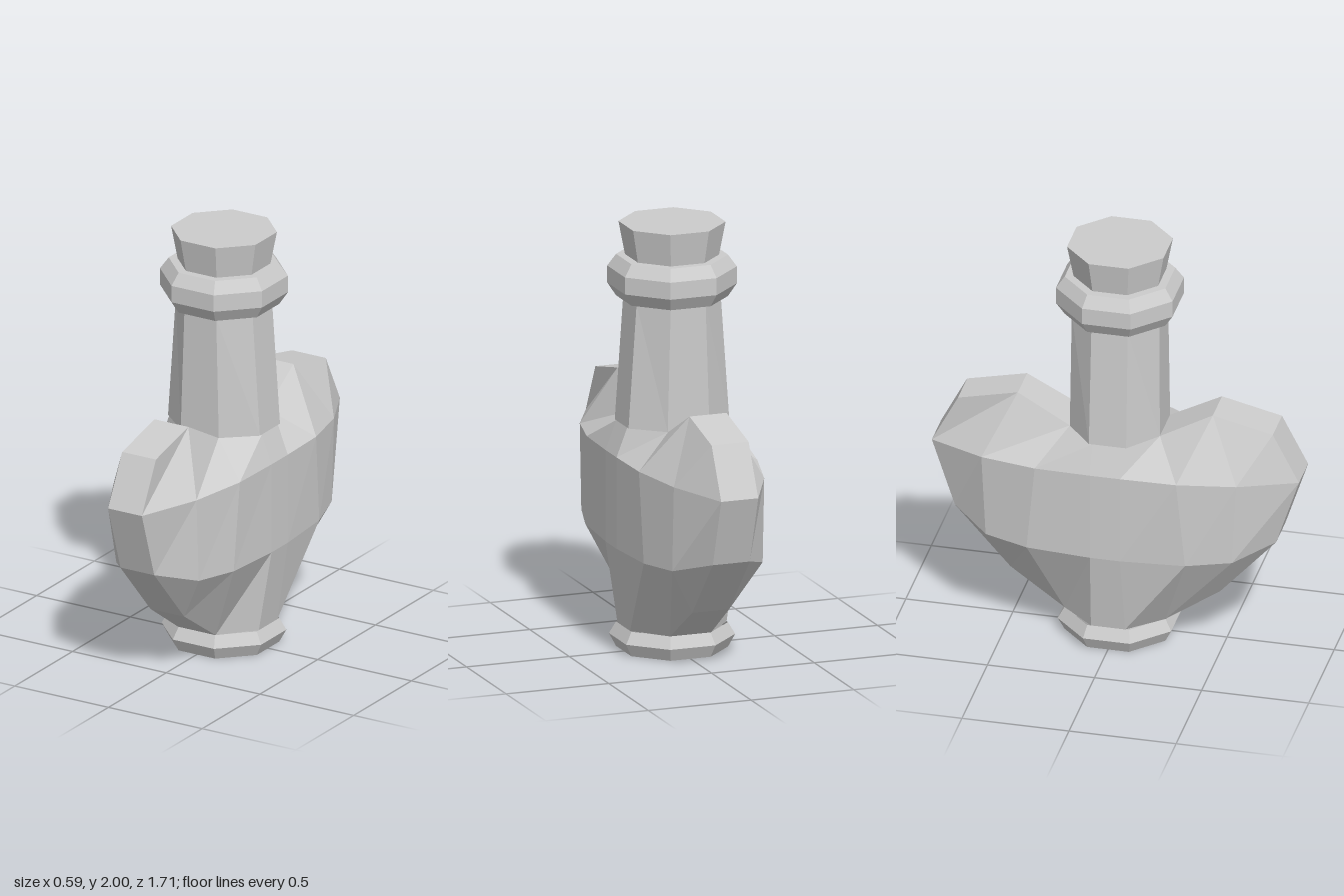
import * as THREE from 'three';

const mat = new THREE.MeshStandardMaterial({ color: 0xcccccc, flatShading: true, side: THREE.DoubleSide });

// Eight-sided turned part; profile radii are measured to the flats
function octagonal(name, profile) {
  const k = 1 / Math.cos(Math.PI / 8);
  const points = profile.map(([r, y]) => new THREE.Vector2(r * k, y));
  const mesh = new THREE.Mesh(new THREE.LatheGeometry(points, 8, Math.PI / 8), mat);
  mesh.name = name;
  return mesh;
}

// Heart-shaped body: columns of points from base to neck, mirrored in x and z
function heartBody() {
  const A = [0.1, 0.115, 0.235], N = [0.1, 1.07, 0.21];
  const B = [0.235, 0.115, 0.08], M = [0.245, 1.07, 0.07];
  const low = [0.09, 0.29, 0.49], lobe = [0.09, 1.205, 0.455];
  const quarter = [
    [A, low, [0.09, 0.58, 0.75], [0.09, 0.905, 0.857], [0.09, 1.14, 0.735], lobe, N],
    [A, low, [0.22, 0.52, 0.575], [0.22, 0.92, 0.595], lobe, lobe, N],
    [A, A, [0.28, 0.51, 0.37], [0.288, 0.933, 0.33], N, N, N],
    [B, B, [0.297, 0.505, 0.07], [0.297, 0.935, 0.07], M, M, M],
  ];
  const mirror = (cols, sx, sz) => cols.map(c => c.map(([x, y, z]) => [x * sx, y, z * sz]));
  const cols = [
    ...quarter,
    ...mirror(quarter, 1, -1).reverse(),
    ...mirror(quarter, -1, -1),
    ...mirror(quarter, -1, 1).reverse(),
  ];
  const pos = [];
  const same = (p, q) => p.every((v, i) => Math.abs(v - q[i]) < 1e-6);
  const tri = (a, b, c) => {
    if (!same(a, b) && !same(b, c) && !same(a, c)) pos.push(...a, ...b, ...c);
  };
  cols.forEach((c, i) => {
    const d = cols[(i + 1) % cols.length];
    for (let j = 0; j < c.length - 1; j++) {
      tri(c[j], d[j], d[j + 1]);
      tri(c[j], d[j + 1], c[j + 1]);
    }
  });
  const geo = new THREE.BufferGeometry();
  geo.setAttribute('position', new THREE.Float32BufferAttribute(pos, 3));
  geo.computeVertexNormals();
  const mesh = new THREE.Mesh(geo, mat);
  mesh.name = 'heartBody';
  return mesh;
}

export function createModel() {
  const group = new THREE.Group();
  group.name = 'heartBottle';

  // Foot ring with a recessed underside
  group.add(octagonal('foot', [[0, 0.12], [0.175, 0.12], [0.19, 0.03], [0.235, 0], [0.265, 0.06], [0.235, 0.115]]));
  group.add(heartBody());

  // Neck, wider in x at its base
  const neck = octagonal('neck', [[0.21, 1.07], [0.205, 1.65]]);
  const p = neck.geometry.attributes.position;
  for (let i = 0; i < p.count; i++) {
    if (p.getY(i) < 1.1) p.setX(i, p.getX(i) * 1.167);
  }
  group.add(neck);

  // Lip collar and flared stopper
  group.add(octagonal('collar', [[0.2, 1.65], [0.235, 1.65], [0.272, 1.71], [0.272, 1.79], [0.235, 1.845], [0.18, 1.845]]));
  group.add(octagonal('stopper', [[0.195, 1.83], [0.225, 2], [0, 2]]));
  return group;
}
